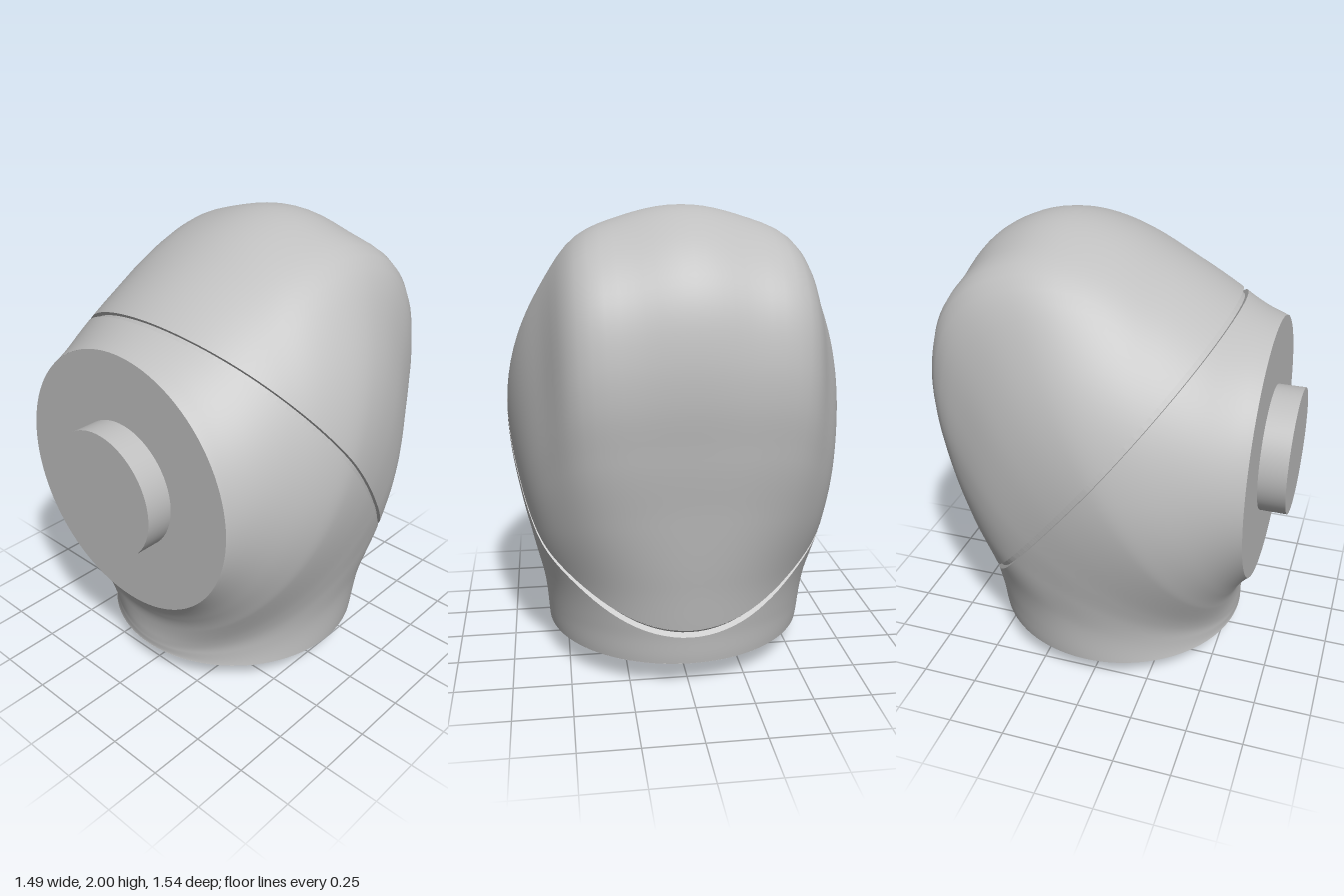
import * as THREE from 'three';

const grey = new THREE.MeshStandardMaterial({ color: 0xc0c0c0, side: THREE.DoubleSide });
grey.name = 'plain grey';

// The elbow is a fan of cross-sections turning about this axis (parallel to x)
const PIVOT_Y = 0.12, PIVOT_Z = 0.655;
const DEG = Math.PI / 180;

// Outer silhouette as [z, y], from the lower back over the crown to the front rim
const outline = [
  [-0.6, 0.12], [-0.618, 0.27], [-0.655, 0.5], [-0.7, 0.8], [-0.742, 1.08], [-0.768, 1.3],
  [-0.766, 1.45], [-0.73, 1.65], [-0.667, 1.78], [-0.56, 1.895], [-0.41, 1.975], [-0.28, 2.0],
  [-0.15, 1.988], [0, 1.943], [0.2, 1.845], [0.46, 1.7], [0.56, 1.645], [0.655, 1.61],
].map(([z, y]) => [Math.atan2(y - PIVOT_Y, PIVOT_Z - z) / DEG, Math.hypot(y - PIVOT_Y, PIVOT_Z - z)]);

// [fan angle, value] tables: inner radius, radius of the widest point, half width
const inner = [[0, 0.09], [20, 0.096], [40, 0.1175], [57, 0.16], [74, 0.235], [82, 0.28], [90, 0.33]];
const middle = [[0, 0.6725], [16, 0.75], [28, 0.89], [38, 1.0], [50, 1.08], [62, 1.09], [75, 1.0], [90, 0.91]];
const width = [[0, 0.583], [16, 0.6], [28, 0.642], [38, 0.685], [50, 0.728], [60, 0.744], [66, 0.729], [75, 0.68], [90, 0.58]];

// Smooth cubic interpolation of a table
function lookup(table, a) {
  let i = 0;
  while (i < table.length - 2 && a > table[i + 1][0]) i++;
  const slope = (k) => {
    const p = table[Math.max(k - 1, 0)], q = table[Math.min(k + 1, table.length - 1)];
    return (q[1] - p[1]) / (q[0] - p[0]);
  };
  const h = table[i + 1][0] - table[i][0];
  const t = (a - table[i][0]) / h, t2 = t * t, t3 = t2 * t;
  return (2 * t3 - 3 * t2 + 1) * table[i][1] + (t3 - 2 * t2 + t) * h * slope(i)
    + (3 * t2 - 2 * t3) * table[i + 1][1] + (t3 - t2) * h * slope(i + 1);
}

const bell = (x, centre, spread) => Math.exp(-(((x - centre) / spread) ** 2));

// Full smooth elbow skin
function elbowSkin() {
  const rows = 90, cols = 96, pos = [], index = [];
  for (let i = 0; i <= rows; i++) {
    const a = 90 * i / rows;
    const ro = lookup(outline, a), ri = lookup(inner, a), c = lookup(middle, a), w = lookup(width, a);
    const n = 2 + 0.6 * bell(a, 30, 12); // squarer towards the lower back
    for (let j = 0; j < cols; j++) {
      const th = (j / cols) * 2 * Math.PI, sin = Math.sin(th), cos = Math.cos(th);
      let swell = 1, reach = c - ri;
      if (cos > 0) {
        // outer half, with a shoulder ridge either side of the back panel
        const side = Math.atan2(Math.abs(sin), cos) / DEG;
        swell = (Math.abs(sin) ** n + cos ** n) ** (-1 / n) * (1 + 0.1 * bell(a, 47, 17) * bell(side, 34.5, 12));
        reach = ro - c;
      }
      const r = c + reach * cos * swell;
      pos.push(w * sin * swell, PIVOT_Y + r * Math.sin(a * DEG), PIVOT_Z - r * Math.cos(a * DEG));
      if (i < rows) {
        const p = i * cols + j, q = i * cols + (j + 1) % cols;
        index.push(p, p + cols, q + cols, p, q + cols, q);
      }
    }
  }
  const g = new THREE.BufferGeometry();
  g.setAttribute('position', new THREE.Float32BufferAttribute(pos, 3));
  g.setIndex(index);
  g.computeVertexNormals();
  return g.toNonIndexed();
}

// Slanted seam plane
const seamNormal = new THREE.Vector3(0, 0.614, -0.789);
const SEAM_LOW = 0.637, SEAM_HIGH = 0.662;

// Keep the skin on one side of the seam; also return the cut edges
function cutSkin(skin, sign, d) {
  const P = skin.attributes.position, N = skin.attributes.normal;
  const pos = [], nor = [], edges = [];
  for (let f = 0; f < P.count; f += 3) {
    const tri = [0, 1, 2].map((k) => {
      const p = new THREE.Vector3().fromBufferAttribute(P, f + k);
      return { p, n: new THREE.Vector3().fromBufferAttribute(N, f + k), s: sign * (p.dot(seamNormal) - d) };
    });
    const poly = [], cut = [];
    tri.forEach((u, k) => {
      const v = tri[(k + 1) % 3];
      if (u.s >= 0) poly.push(u);
      if ((u.s >= 0) !== (v.s >= 0)) {
        const t = u.s / (u.s - v.s);
        const m = { p: u.p.clone().lerp(v.p, t), n: u.n.clone().lerp(v.n, t).normalize() };
        poly.push(m);
        cut.push(m.p);
      }
    });
    for (let k = 1; k + 1 < poly.length; k++) {
      for (const v of [poly[0], poly[k], poly[k + 1]]) {
        pos.push(...v.p.toArray());
        nor.push(...v.n.toArray());
      }
    }
    if (cut.length === 2) edges.push(cut);
  }
  const geometry = new THREE.BufferGeometry();
  geometry.setAttribute('position', new THREE.Float32BufferAttribute(pos, 3));
  geometry.setAttribute('normal', new THREE.Float32BufferAttribute(nor, 3));
  return { geometry, edges };
}

// Quads joining each edge to its moved copy
function strip(edges, from, to) {
  const pos = [];
  for (const [p, q] of edges) {
    const a = from(p), b = from(q), c = to(q), d = to(p);
    for (const v of [a, b, c, a, c, d]) pos.push(v.x, v.y, v.z);
  }
  const g = new THREE.BufferGeometry();
  g.setAttribute('position', new THREE.Float32BufferAttribute(pos, 3));
  g.computeVertexNormals();
  return g;
}

export function createModel() {
  const model = new THREE.Group();
  model.name = 'elbowJoint';
  const add = (name, geometry) => {
    const mesh = new THREE.Mesh(geometry, grey);
    mesh.name = name;
    model.add(mesh);
    return mesh;
  };

  // Two housing halves
  const skin = elbowSkin();
  const lower = cutSkin(skin, -1, SEAM_LOW);
  const upper = cutSkin(skin, 1, SEAM_HIGH);
  add('housing', lower.geometry);
  add('rearCover', upper.geometry);

  // Seam groove: two narrow ledges and a recessed neck between them
  const seamCentre = new THREE.Vector3(0, 0.98, -0.06);
  const keep = (p) => p;
  const inset = (p) => p.clone().lerp(seamCentre, 0.025);
  const lifted = (p) => inset(p).addScaledVector(seamNormal, SEAM_HIGH - SEAM_LOW + 0.003);
  add('housingLedge', strip(lower.edges, keep, inset));
  add('coverLedge', strip(upper.edges, keep, inset));
  add('seamNeck', strip(lower.edges, inset, lifted));

  // Flat end faces
  add('frontFace', new THREE.CircleGeometry(0.58, 96)).position.set(0, 1.03, PIVOT_Z);
  const base = add('bottomFace', new THREE.CircleGeometry(0.583, 96));
  base.rotation.x = Math.PI / 2;
  base.position.set(0, PIVOT_Y, -0.0175);

  // Coupling stubs
  add('bottomStub', new THREE.CylinderGeometry(0.28, 0.28, 0.13, 64)).position.set(0, 0.065, -0.02);
  const stub = add('frontStub', new THREE.CylinderGeometry(0.28, 0.28, 0.13, 64));
  stub.rotation.x = Math.PI / 2;
  stub.position.set(0, 1.03, 0.71);

  return model;
}
